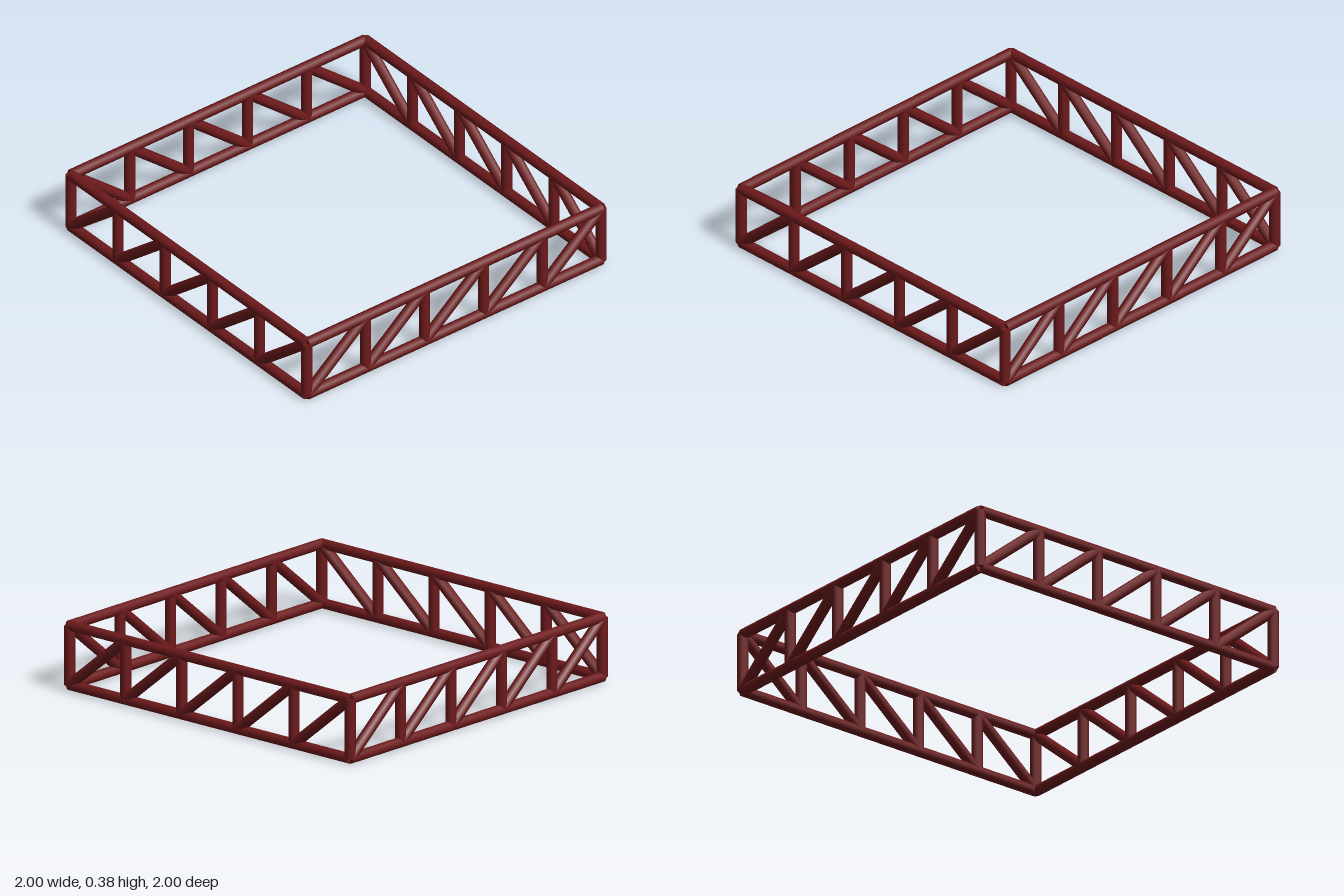
import * as THREE from 'three';

const R = 0.029;      // tube radius
const H = 0.971;      // half side between tube centres
const LOW = R, HIGH = 0.349;
const BAYS = 5;

const material = new THREE.MeshStandardMaterial({ color: 0x6e1a1c });

// Straight tube between two points
function strut(name, a, b) {
  const dir = b.clone().sub(a);
  const mesh = new THREE.Mesh(new THREE.CylinderGeometry(R, R, dir.length(), 8), material);
  mesh.name = name;
  mesh.position.copy(a).add(b).multiplyScalar(0.5);
  mesh.quaternion.setFromUnitVectors(new THREE.Vector3(0, 1, 0), dir.normalize());
  return mesh;
}

// One truss side: two chords, posts and a diagonal in every bay
function trussSide(name) {
  const side = new THREE.Group();
  side.name = name;
  const node = (i, y) => new THREE.Vector3(-H + (2 * H * i) / BAYS, y, H);
  side.add(strut('bottomChord', node(0, LOW), node(BAYS, LOW)));
  side.add(strut('topChord', node(0, HIGH), node(BAYS, HIGH)));
  for (let i = 0; i < BAYS; i++) {
    side.add(strut('post', node(i, LOW), node(i, HIGH)));
    side.add(strut('diagonal', node(i, LOW), node(i + 1, HIGH)));
  }
  return side;
}

export function createModel() {
  const model = new THREE.Group();
  model.name = 'squareTruss';
  // The same side turned around the square; each brings one corner post
  ['frontTruss', 'leftTruss', 'backTruss', 'rightTruss'].forEach((name, i) => {
    const side = trussSide(name);
    side.rotation.y = (i * Math.PI) / 2;
    model.add(side);
  });
  return model;
}
